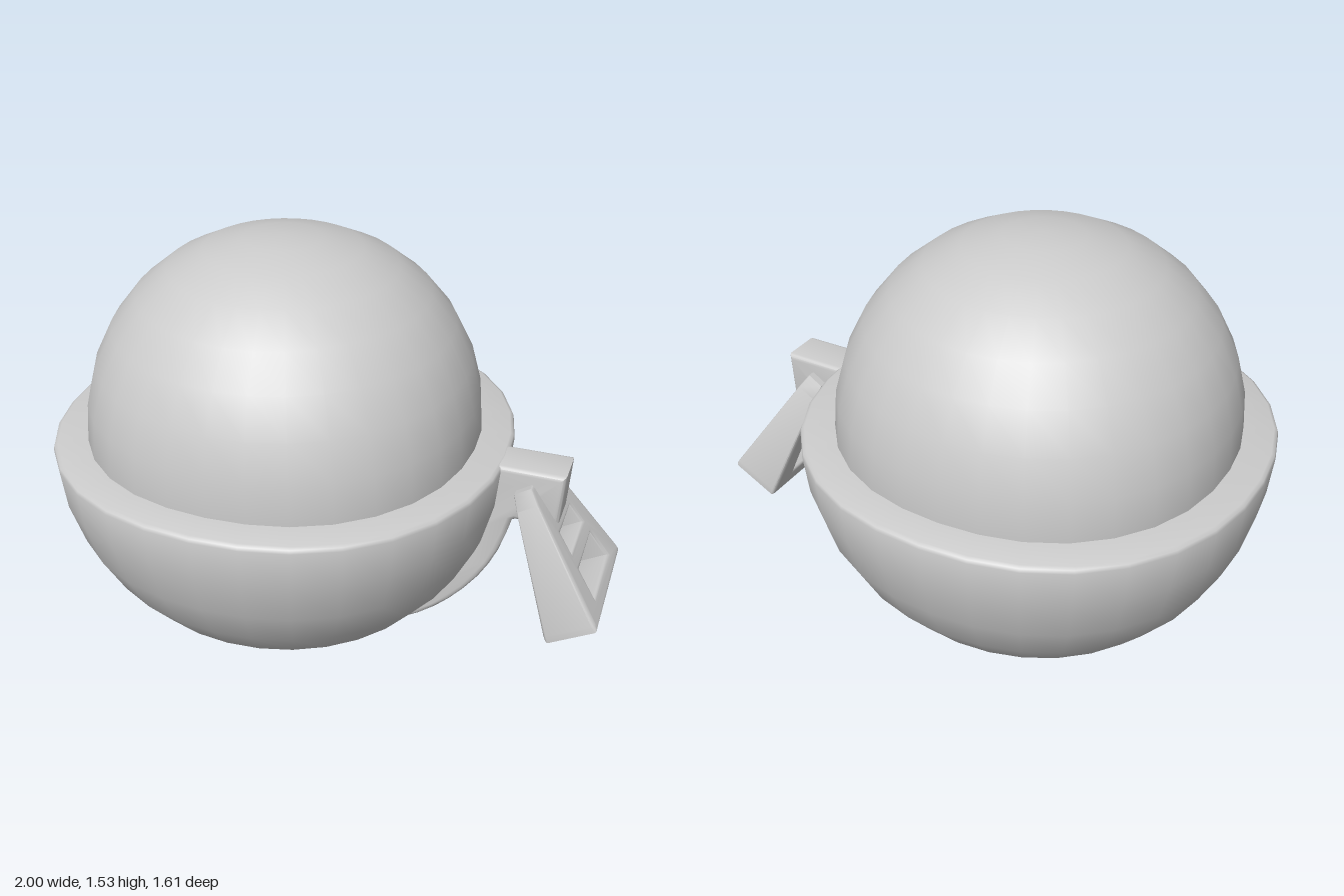
import * as THREE from 'three';
import { toCreasedNormals } from 'three/addons/utils/BufferGeometryUtils.js';

const CX = -0.195, RIM_Y = 0.85, BOWL_R = 0.805, BALL_R = 0.688, SEGMENTS = 32;
const material = new THREE.MeshStandardMaterial({ color: 0xcccccc });

function addPart(group, name, geometry) {
  const mesh = new THREE.Mesh(geometry, material);
  mesh.name = name;
  group.add(mesh);
  return mesh;
}

const points = (list) => list.map(([x, y]) => new THREE.Vector2(x, y));

// Swell a round form slightly along its diagonals, like a smoothed cube
function swellDiagonals(geometry) {
  const pos = geometry.attributes.position;
  const p = new THREE.Vector3(), d = new THREE.Vector3();
  for (let i = 0; i < pos.count; i++) {
    p.fromBufferAttribute(pos, i);
    d.copy(p).normalize();
    const t = 1 - (d.x ** 4 + d.y ** 4 + d.z ** 4);
    p.multiplyScalar(1 + 0.074 * t - 0.04 * t * t);
    pos.setXYZ(i, p.x, p.y, p.z);
  }
  return toCreasedNormals(geometry, 0.9);
}

// Half-round bowl with a softened rim and a flat ledge
function bowlGeometry() {
  const profile = [];
  for (let i = 0; i < 8; i++) {
    const a = (i / 8) * Math.PI / 2;
    profile.push([BOWL_R * Math.sin(a), -BOWL_R * Math.cos(a)]);
  }
  profile.push([BOWL_R, -0.018], [BOWL_R - 0.004, -0.006], [BOWL_R - 0.015, 0], [0.6, 0]);
  return swellDiagonals(new THREE.LatheGeometry(points(profile), SEGMENTS));
}

// Rib that follows the underside of the bowl and ends in a square lug at the rim
function ribGeometry() {
  const bevel = 0.018;
  const outer = new THREE.SplineCurve(points([
    [0.638, 0.655], [0.597, 0.51], [0.535, 0.385], [0.44, 0.265],
    [0.33, 0.17], [0.185, 0.09], [0.03, 0.045], [-0.13, 0.022],
  ])).getPoints(14);
  const inner = [];
  for (let i = 0; i <= 12; i++) {
    const a = -Math.PI / 2 + 0.05 + (i / 12) * 1.4;
    inner.push(new THREE.Vector2(CX + 0.77 * Math.cos(a), RIM_Y + 0.77 * Math.sin(a)));
  }
  const shape = new THREE.Shape([
    ...points([[0.55, 0.832], [0.804, 0.832], [0.795, 0.668], [0.66, 0.668]]),
    ...outer, ...points([[-0.165, 0.045]]), ...inner,
  ]);
  const geometry = new THREE.ExtrudeGeometry(shape, {
    depth: 0.16 - 2 * bevel, bevelEnabled: true, bevelSize: bevel, bevelThickness: bevel, bevelSegments: 3,
  });
  geometry.translate(0, 0, -0.08 + bevel);
  return toCreasedNormals(geometry, 0.7);
}

// Flared frame with two openings; v runs down its length, thickness grows with v
function handleGeometry() {
  const b = 0.016;
  const shape = new THREE.Shape(points([
    [-0.096, b], [0.096, b], [0.118, 0.06], [0.25 - b, 0.475], [0.25 - b, 0.5 - b],
    [-0.25 + b, 0.5 - b], [-0.25 + b, 0.475], [-0.118, 0.06],
  ]));
  const hole = (top, topHalf, bottom, bottomHalf) => shape.holes.push(new THREE.Path(points([
    [-topHalf, top], [-bottomHalf, bottom], [bottomHalf, bottom], [topHalf, top],
  ])));
  hole(0.176, 0.104, 0.286, 0.118);
  hole(0.314, 0.129, 0.456, 0.151);
  const geometry = new THREE.ExtrudeGeometry(shape, {
    depth: 0.88, bevelEnabled: true, bevelSize: b, bevelThickness: 0.06, bevelSegments: 3,
  });
  // Place the plate between its inner and outer slanted faces
  const pos = geometry.attributes.position;
  const mix = THREE.MathUtils.lerp;
  for (let i = 0; i < pos.count; i++) {
    const u = pos.getX(i), v = pos.getY(i) / 0.5, w = pos.getZ(i) + 0.06;
    pos.setXYZ(i,
      mix(mix(0.658, 0.835, v), mix(0.715, 1.005, v), w),
      mix(mix(0.768, 0.292, v), mix(0.805, 0.39, v), w),
      u);
  }
  return toCreasedNormals(geometry, 0.7);
}

export function createModel() {
  const model = new THREE.Group();
  model.name = 'ballInBowl';
  addPart(model, 'bowl', bowlGeometry()).position.set(CX, RIM_Y, 0);
  const ball = swellDiagonals(new THREE.SphereGeometry(BALL_R, SEGMENTS, SEGMENTS / 2));
  addPart(model, 'ball', ball).position.set(CX, RIM_Y, 0);
  addPart(model, 'rib', ribGeometry());
  addPart(model, 'handle', handleGeometry());
  return model;
}
